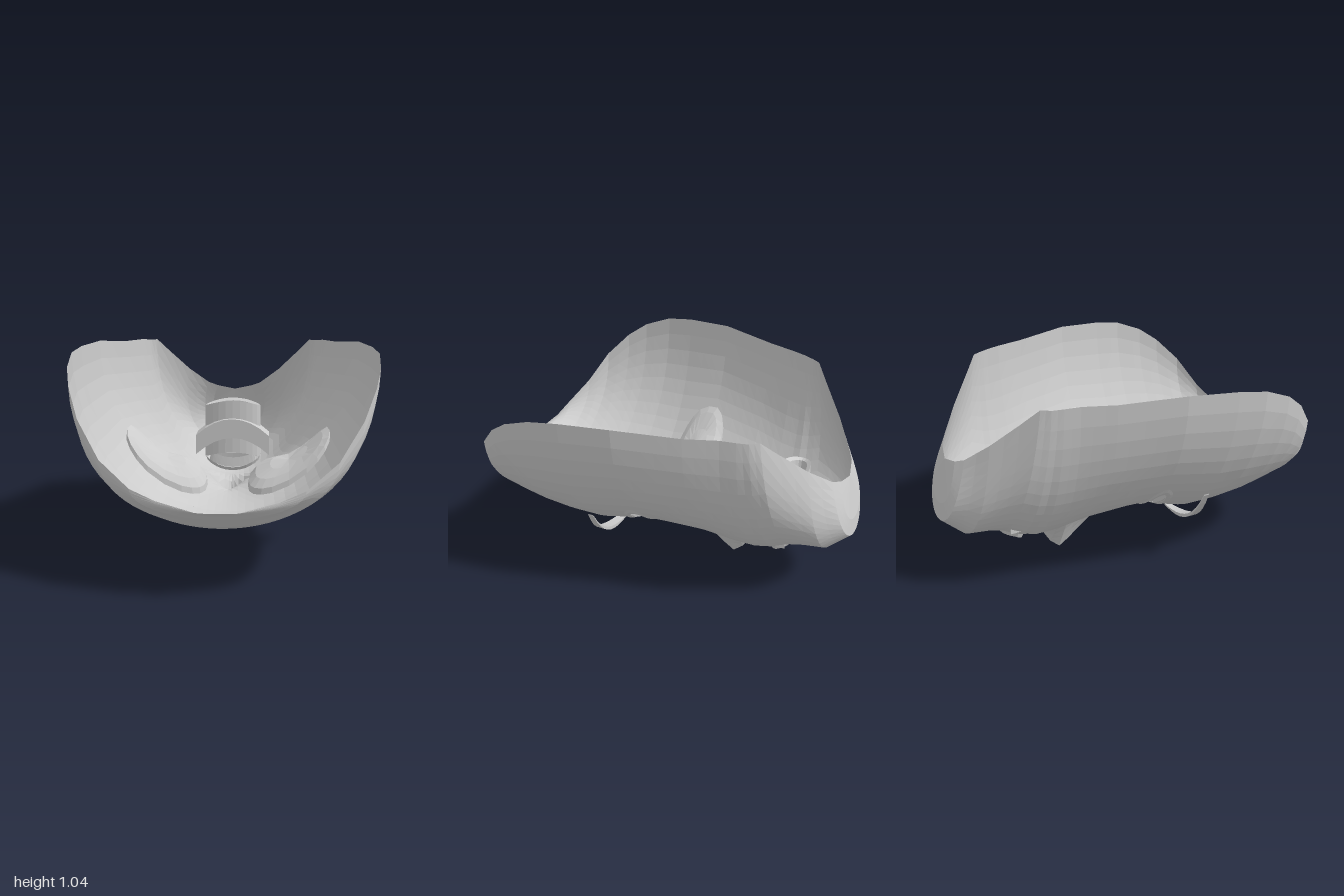
import * as THREE from 'three';

const material = new THREE.MeshStandardMaterial({ color: 0xcccccc, flatShading: true, side: THREE.DoubleSide });
const { lerp } = THREE.MathUtils;

// Shell sections, forehead to chin: [centre z, centre y, rim x, rim y, rim z]
const sections = [
  [1, .405, .1, .41, .995], [.97, .385, .26, .445, .96], [.94, .36, .37, .49, .94],
  [.87, .305, .51, .595, .87], [.78, .265, .62, .755, .78], [.66, .23, .685, .88, .66],
  [.55, .2, .718, .955, .55], [.4, .18, .735, 1.01, .4], [.25, .175, .725, 1.03, .25],
  [0, .235, .69, 1.04, 0], [-.3, .22, .595, 1.02, -.3], [-.46, .18, .54, 1.02, -.45],
  [-.55, .175, .52, 1.015, -.52], [-.64, .2, .5, 1.01, -.57], [-.73, .25, .47, 1.01, -.61],
  [-.8, .265, .4, .93, -.68], [-.9, .27, .29, .81, -.79], [-1, .36, .17, .71, -.88],
  [-.99, .45, .11, .685, -.91], [-.93, .66, 0, .66, -.93],
];
// Nose ridge: [z, depth, half width]
const nose = [[.05, 0, .07], [-.1, .045, .09], [-.2, .11, .11], [-.3, .185, .13],
  [-.353, .207, .14], [-.4, .16, .14], [-.45, .05, .13], [-.5, 0, .11]];

const EYE = { x: .345, z: .025, rx: .14, rz: .05 };
const MOUTH = { x: 0, z: -.645, rx: .15, rz: .03 };

// Row of a table (first column z, descending) interpolated at z
function sample(table, z) {
  for (let i = 1; i < table.length; i++) {
    const a = table[i - 1], b = table[i];
    if (z <= a[0] && z >= b[0]) return a.map((v, k) => lerp(v, b[k], (a[0] - z) / (a[0] - b[0])));
  }
  return null;
}

// Nose ridge and hollow eye sockets as an offset in y
function relief(x, z) {
  const n = sample(nose, z);
  const ridge = n ? n[1] * Math.max(0, 1 - Math.abs(x) / n[2]) ** 1.25 : 0;
  const socket = .05 * Math.exp(-(((Math.abs(x) - .21) / .11) ** 2) - ((z + .04) / .14) ** 2);
  return socket - ridge;
}

function surfaceY(x, z) {
  const [, y, rx, ry] = sample(sections, z);
  return y + (ry - y) * (1 - Math.sqrt(Math.max(0, 1 - (x / rx) ** 2))) + relief(x, z);
}

function meshFrom(name, positions, index) {
  const g = new THREE.BufferGeometry();
  g.setAttribute('position', new THREE.Float32BufferAttribute(positions, 3));
  g.setIndex(index);
  g.computeVertexNormals();
  const mesh = new THREE.Mesh(g, material);
  mesh.name = name;
  return mesh;
}

const inHole = (h, x, z) => ((Math.abs(x) - h.x) / h.rx) ** 2 + ((z - h.z) / h.rz) ** 2 < 1;

function buildShell() {
  // Columns crowd towards the nose
  const n = 37, angles = [];
  for (let c = 0; c < n; c++) {
    const t = c / (n - 1) * 2 - 1;
    angles.push(Math.sign(t) * Math.abs(t) ** 1.35 * Math.PI / 2);
  }
  const rows = [];
  for (let i = 0; i < sections.length - 1; i++) {
    const a = sections[i], b = sections[i + 1];
    const split = Math.max(1, Math.round(Math.hypot(a[0] - b[0], a[1] - b[1]) / .055));
    for (let s = 0; s < split; s++) rows.push(a.map((v, k) => lerp(v, b[k], s / split)));
  }
  rows.push(sections[sections.length - 1]);
  const pos = [], index = [];
  for (const [z0, y0, rx, ry, rz] of rows) {
    // Jaw sides swell out near the chin
    const bulge = Math.min(.06, rx / 2, Math.max(0, -z0 - .6) * .2);
    for (const a of angles) {
      const t = 1 - Math.cos(a);
      const x = rx * Math.sin(a) + bulge * Math.sin(2 * a), z = lerp(z0, rz, t);
      pos.push(x, lerp(y0, ry, t) + relief(x, z), z);
    }
  }
  for (let r = 0; r < rows.length - 1; r++)
    for (let c = 0; c < n - 1; c++) {
      const a = r * n + c, b = a + 1, d = a + n, e = d + 1;
      const x = (pos[a * 3] + pos[e * 3]) / 2, z = (pos[a * 3 + 2] + pos[e * 3 + 2]) / 2;
      // Leave the eyes and mouth open
      if (inHole(EYE, x, z) || inHole(MOUTH, x, z)) continue;
      // Diagonals mirror across the nose
      if (x < 0) index.push(a, b, e, a, e, d);
      else index.push(a, b, d, b, e, d);
    }
  return meshFrom('faceShell', pos, index);
}

// Loft of rounded loops around (cx, cz); each loop is [radius x, radius z, height]
function loft(name, cx, cz, loops, heightAt, power = 1, n = 24) {
  const pos = [], index = [];
  const soft = v => Math.sign(v) * Math.abs(v) ** power;
  loops.forEach(([rx, rz, h], l) => {
    for (let i = 0; i < n; i++) {
      const a = i / n * Math.PI * 2, x = cx + rx * soft(Math.cos(a)), z = cz + rz * soft(Math.sin(a));
      pos.push(x, heightAt(x, z, h), z);
      if (!l) continue;
      const p = l * n + i, q = l * n + (i + 1) % n;
      index.push(p - n, p, q - n, q - n, p, q);
    }
  });
  return meshFrom(name, pos, index);
}

// Box whose vertices are moved by a rule (x, y, z) -> [x, y, z]
function bentBox(name, size, segments, rule) {
  const g = new THREE.BoxGeometry(...size, segments, 1, 1), p = g.attributes.position;
  for (let i = 0; i < p.count; i++) p.setXYZ(i, ...rule(p.getX(i), p.getY(i), p.getZ(i)));
  g.computeVertexNormals();
  const mesh = new THREE.Mesh(g, material);
  mesh.name = name;
  return mesh;
}

export function createModel() {
  const model = new THREE.Group();
  model.name = 'faceMask';
  model.add(buildShell());
  const onSurface = (x, z, h) => surfaceY(x, z) + h;

  for (const side of [1, -1]) {
    const label = side > 0 ? 'left' : 'right', { x, z, rx, rz } = EYE;
    // Eyelid rim round the opening
    model.add(loft(label + 'Eyelid', x * side, z, [[rx - .02, rz - .015, .03], [rx - .01, rz - .006, -.002],
      [rx + .015, rz + .015, -.007], [rx + .05, rz + .045, .012]], onSurface));
    // Rounded cup closing the eye from behind
    model.add(loft(label + 'EyeCup', .33 * side, .04,
      [[.22, .14, .01], [.215, .135, .04], [.18, .1, .065], [.1, .055, .075], [0, 0, .075]], onSurface, .75, 20));
    // Curved strip floating just off the brow
    model.add(bentBox(label + 'Brow', [1, 1, 1], 10, (bx, by, bz) => {
      const t = bx + .5, bow = Math.sin(t * Math.PI), px = lerp(.17, .585, t), pz = lerp(.235, .2, t) + .025 * bow;
      const gap = .005 + .08 * Math.sin(Math.min(1, t * 1.25) * Math.PI / 2);
      return [px * side, surfaceY(px, pz) - gap + by * (.006 + .014 * bow), pz + bz * (.03 + .025 * bow)];
    }));
  }

  // Lips
  const { z, rx, rz } = MOUTH;
  model.add(loft('lips', 0, z, [[rx - .01, rz - .01, .06], [rx, rz - .004, 0],
    [rx + .01, rz + .025, -.022], [rx + .03, rz + .05, .025]], onSurface));

  // Mouth cup with an arched top edge and a floor
  model.add(loft('mouthCup', 0, -.65,
    [[.18, .08, .3], [.175, .075, .63], [.155, .055, .615], [.14, .04, .46], [0, 0, .46]],
    (x, cz, h) => h - 1.2 * x * x));

  // Arched gum plate
  model.add(bentBox('gumPlate', [.46, .12, .16], 8, (x, y, gz) => [x, y + .46 - 2 * x * x, gz - .62]));
  return model;
}
